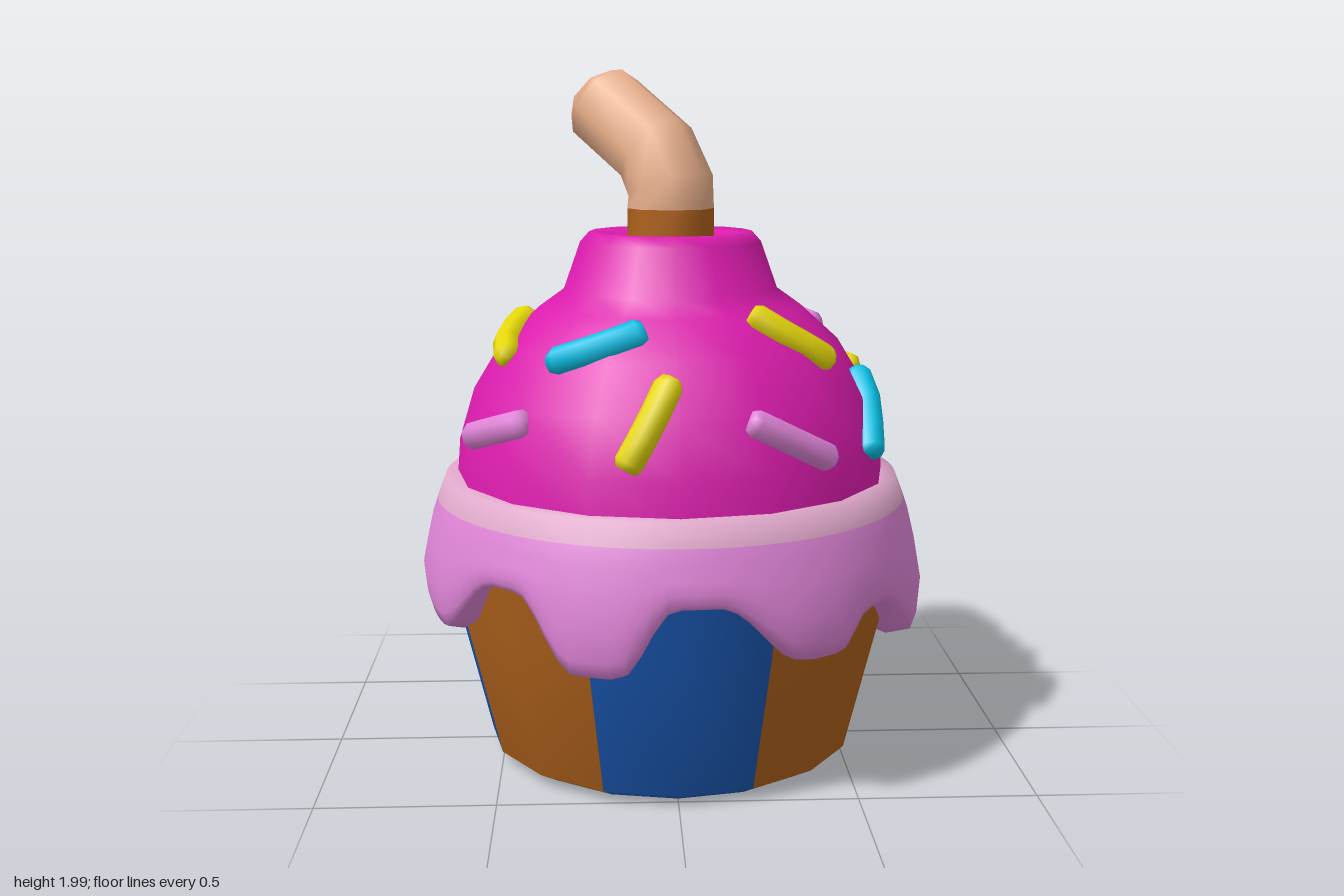
import * as THREE from 'three';

const mat = (name, color) => Object.assign(new THREE.MeshStandardMaterial({ color }), { name });
const V = (x, y, z) => new THREE.Vector3(x, y, z);
const rad = THREE.MathUtils.degToRad, lerp = THREE.MathUtils.lerp;

// lookup in a list of [key, value] pairs with rising keys
function lookup(table, k, ease = t => t) {
  for (let i = 1; i < table.length; i++) {
    const [k0, v0] = table[i - 1], [k1, v1] = table[i];
    if (k <= k1) return lerp(v0, v1, ease(Math.max(0, (k - k0) / (k1 - k0))));
  }
  return table[table.length - 1][1];
}

// profiles as [y, radius]
const CUP = [[0, 0], [0.001, 0.48], [0.035, 0.54], [0.44, 0.64], [0.74, 0.69]];
const DOME = [[0.8, 0.63], [0.93, 0.62], [1.08, 0.575], [1.22, 0.49], [1.32, 0.38], [1.37, 0.31],
  [1.505, 0.262], [1.535, 0.235]];
// lower edge of the icing: [angle from the front, y], in pairs for broad crests and drips
const DRIPS = [[-23, 0.41], [-14, 0.41], [-1, 0.61], [8, 0.61], [29, 0.435], [37, 0.435], [47, 0.535], [52, 0.535],
  [80, 0.355], [94, 0.36], [113, 0.58], [119, 0.58], [130, 0.485], [139, 0.485], [156, 0.62], [165, 0.62],
  [181, 0.45], [190, 0.45], [207, 0.37], [217, 0.37], [230, 0.46], [246, 0.6], [275, 0.46], [295, 0.44],
  [315, 0.62], [322, 0.62], [337, 0.41], [346, 0.41]];

const lathe = (pts, seg, start = 0, len = Math.PI * 2) =>
  new THREE.LatheGeometry(pts.map(([y, r]) => new THREE.Vector2(r, y)), seg, start, len);

// grid of points, rows x cols, closed around the columns
function skin(rows, cols, point) {
  const pos = [], idx = [];
  for (let i = 0; i < rows; i++)
    for (let j = 0; j < cols; j++) pos.push(...point(i, j).toArray());
  for (let i = 0; i < rows - 1; i++)
    for (let j = 0; j < cols; j++) {
      const a = i * cols + j, b = i * cols + (j + 1) % cols;
      idx.push(a, b, b + cols, a, b + cols, a + cols);
    }
  const g = new THREE.BufferGeometry();
  g.setAttribute('position', new THREE.Float32BufferAttribute(pos, 3));
  g.setIndex(idx);
  g.computeVertexNormals();
  return g;
}

// round bar swept along points with a radius at each one
function loft(path, radii, sides, ref) {
  return skin(path.length, sides, (i, j) => {
    const t = path[Math.min(i + 1, path.length - 1)].clone().sub(path[Math.max(i - 1, 0)]).normalize();
    const n = ref.clone().addScaledVector(t, -ref.dot(t)).normalize();
    const b = t.clone().cross(n), a = (j / sides) * Math.PI * 2;
    return path[i].clone().addScaledVector(n, radii[i] * Math.cos(a)).addScaledVector(b, radii[i] * Math.sin(a));
  });
}

// icing ring, listed from the tucked-in lower lip up to the inner rim
function icingGeometry() {
  const cols = 120;
  const g = skin(10, cols, (i, j) => {
    const deg = (j / cols) * 360, a = rad(deg);
    const yb = lookup(DRIPS, deg > 337 ? deg - 360 : deg, t => t * t * (3 - 2 * t));
    const cup = lookup(CUP, yb), out = 0.708 + 0.022 * (0.63 - yb) / 0.25;
    const [r, y] = [
      [cup - 0.03, yb + 0.02],
      [cup + 0.025, yb],
      [lerp(cup, out, 0.8) + 0.005, lerp(yb, 0.7, 0.05)],
      [out, lerp(yb, 0.7, 0.2)],
      [out + 0.008, lerp(yb, 0.7, 0.5)],
      [lerp(out, 0.705, 0.5), lerp(yb, 0.7, 0.85)],
      [0.7, 0.725],
      [0.685, 0.77],
      [0.66, 0.835],
      [0.6, 0.835],
    ][i];
    return V(Math.sin(a) * r, y, Math.cos(a) * r);
  });
  const split = 7 * cols * 6;
  g.addGroup(0, split, 0);
  g.addGroup(split, 2 * cols * 6, 1);
  return g;
}

// point on the dome at an angle and height
function onDome(deg, y) {
  const r = lookup(DOME, y), a = rad(deg);
  return V(Math.sin(a) * r, y, Math.cos(a) * r);
}

export function createModel() {
  const model = new THREE.Group();
  const blue = mat('blue wrapper', 0x1a57b0), brown = mat('brown', 0xb0621c);
  const magenta = mat('magenta frosting', 0xdc1cae), pink = mat('pink icing', 0xe085d8);
  const pale = mat('pale pink rim', 0xdfa8ca), tan = mat('tan', 0xeab08c);
  const yellow = mat('yellow', 0xe6d80a), cyan = mat('cyan', 0x08c0e6);
  const add = (name, geometry, material, parent = model) => {
    const m = new THREE.Mesh(geometry, material);
    m.name = name;
    parent.add(m);
  };

  // striped wrapper: eight wedges
  const wrapper = new THREE.Group();
  wrapper.name = 'wrapper';
  model.add(wrapper);
  for (let i = 0; i < 8; i++)
    add('wrapperStripe', lathe(CUP, 2, rad(i * 45 - 22.5), rad(45)), i % 2 ? brown : blue, wrapper);

  // dripping icing and frosting dome with a shallow dimple on top
  add('drippingIcing', icingGeometry(), [pink, pale]);
  add('frostingDome', lathe([...DOME, [1.528, 0.2], [1.505, 0.12], [1.5, 0]], 16), magenta);

  // bent stem
  const side = V(1, 0, -1).normalize(), lean = V(-0.12, 0.13, -0.12).normalize(), end = V(-0.185, 1.89, -0.185);
  const R = 0.125;
  add('stemBase', loft([V(0, 1.46, 0), V(0, 1.6, 0)], [R, R], 8, side), brown);
  add('stem', loft(
    [V(0, 1.6, 0), V(0, 1.665, 0), V(-0.04, 1.76, -0.04), end,
      end.clone().addScaledVector(lean, 0.045), end.clone().addScaledVector(lean, 0.055)],
    [R, R, R, R, 0.095, 0], 8, side), tan);

  // sprinkles: colour, then angle and height near both ends
  const sprinkles = new THREE.Group();
  sprinkles.name = 'sprinkles';
  model.add(sprinkles);
  [
    [yellow, -13, 0.97, -3, 1.17], [cyan, -41, 1.21, -14, 1.29], [yellow, 35, 1.32, 56, 1.2],
    [pink, 20, 1.07, 41, 0.96], [cyan, 77, 1.13, 63, 0.94], [yellow, 101, 1.13, 117, 0.94],
    [pink, 111, 1.24, 144, 1.3], [cyan, 156, 1.14, 168, 0.95], [yellow, 184, 1.32, 188, 1.18],
    [pink, 191, 0.95, 215, 1.05], [cyan, 244, 1.06, 229, 1.23], [yellow, 293, 1.2, 264, 1.28],
    [pink, 292, 0.98, 315, 1.05],
  ].forEach(([m, a0, y0, a1, y1]) => {
    const path = [-0.07, -0.06, 0.02, 0.33, 0.67, 0.98, 1.06, 1.07]
      .map(s => onDome(lerp(a0, a1, s), lerp(y0, y1, s)));
    const up = path[3].clone().add(path[4]).multiplyScalar(0.5).sub(V(0, 0.8, 0)).normalize();
    add('sprinkle', loft(path, [0, 0.03, 0.041, 0.041, 0.041, 0.041, 0.03, 0], 8, up), m, sprinkles);
  });
  return model;
}
